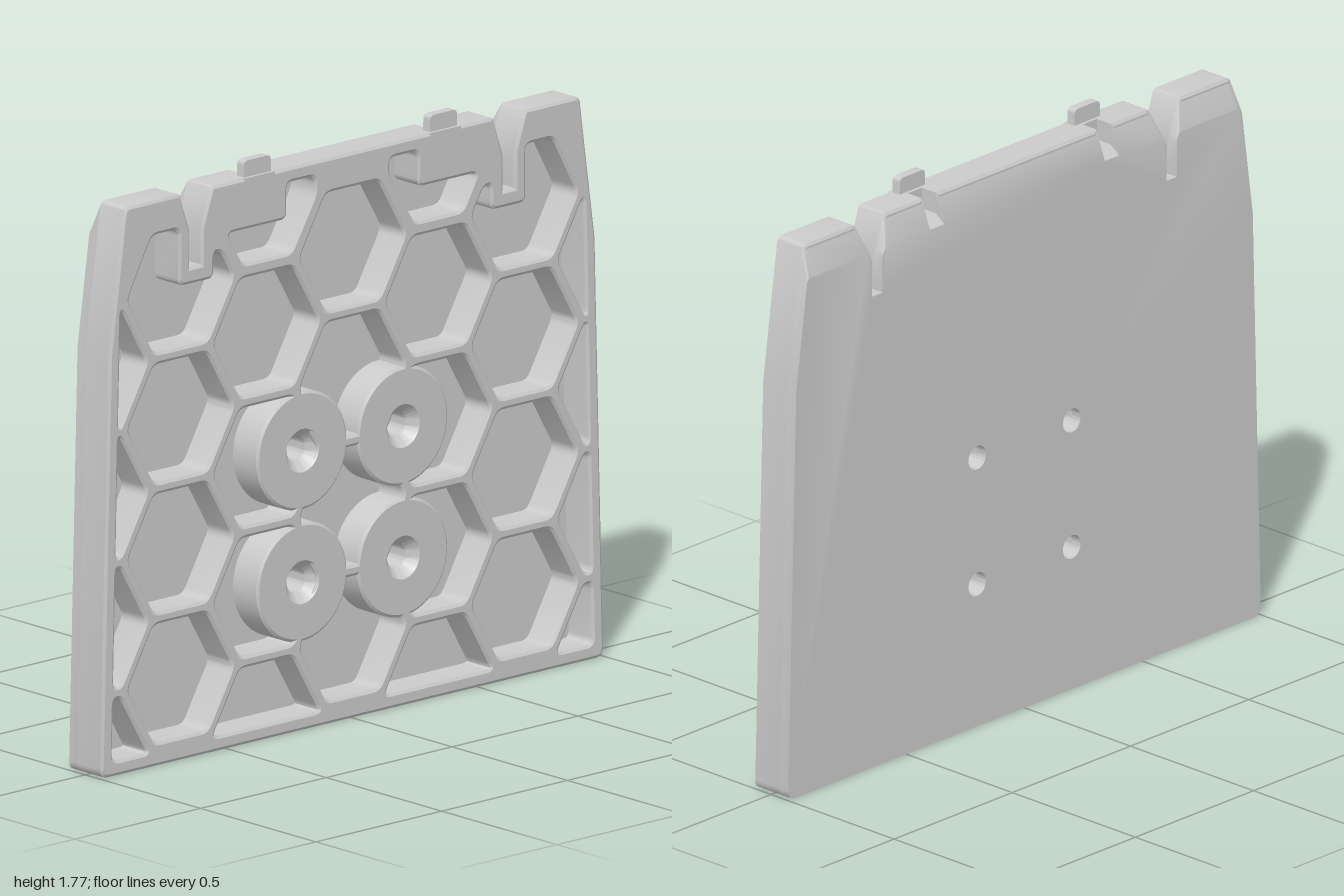
import * as THREE from 'three';
import { toCreasedNormals } from 'three/addons/utils/BufferGeometryUtils.js';

const BACK = -0.07, FLOOR = -0.035, FRONT = 0.07;
const PITCH = 0.395, COL = 0.342, APOTHEM = 0.18;
const BOSSES = [[-0.2, 0.45], [0.2, 0.45], [-0.2, 0.85], [0.2, 0.85]];
const material = new THREE.MeshStandardMaterial({ color: 0xcccccc });

// Rounds polygon corners; each point is [x, y, optional corner cut]
function roundPoly(pts, cut = 0) {
  const out = [];
  pts.forEach(([x, y, own], i) => {
    const p = new THREE.Vector2(x, y);
    const prev = new THREE.Vector2(...pts.at(i - 1).slice(0, 2));
    const next = new THREE.Vector2(...pts[(i + 1) % pts.length].slice(0, 2));
    const c = own ?? cut;
    if (!c) return out.push(p);
    const toward = (q) => p.clone().lerp(q, Math.min(c / p.distanceTo(q), 0.45));
    out.push(...new THREE.QuadraticBezierCurve(toward(prev), p, toward(next)).getPoints(4));
  });
  return out;
}

const mirror = (pts) => pts.map(([x, ...rest]) => [-x, ...rest]).reverse();

// Plate silhouette; the top edge can be lowered to make the back chamfer
function outline(top) {
  const t = (top - 1.6) / 0.12;
  const notch = Math.min(1.655, top);
  const half = [
    [1, 0, 0.03], [0.966, 1.28], [0.966 - 0.061 * (top - 1.28) / 0.44, top, 0.02],
    [0.645 + 0.04 * t, top, 0.01], [0.645, 1.6], [0.645, 1.49], [0.6, 1.49], [0.6, 1.6],
    [0.6 - 0.04 * t, top, 0.01],
    [0.4, top], [0.4, notch], [0.34, notch], [0.34, top],
  ];
  return roundPoly([...half, ...mirror(half)]);
}

// Flat-topped hexagon
function hexagon(cx, cy) {
  const R = APOTHEM / Math.cos(Math.PI / 6);
  return Array.from({ length: 6 }, (_, i) =>
    [cx + R * Math.cos(i * Math.PI / 3), cy + R * Math.sin(i * Math.PI / 3)]);
}

// Keeps the part of a polygon where f(point) >= 0
function clip(pts, f) {
  const out = [];
  pts.forEach((a, i) => {
    const b = pts[(i + 1) % pts.length], fa = f(a), fb = f(b);
    if (fa >= 0) out.push(a);
    if (fa * fb < 0) {
      const t = fa / (fa - fb);
      out.push([a[0] + (b[0] - a[0]) * t, a[1] + (b[1] - a[1]) * t]);
    }
  });
  return out;
}

function pockets() {
  const list = [];
  // middle column
  for (let i = 0; i < 4; i++) list.push(hexagon(0, 0.25 + i * PITCH));
  const side = [];
  for (let i = 0; i < 3; i++) side.push(hexagon(2 * COL, 0.25 + i * PITCH));
  // offset columns, trimmed by the bottom and side borders
  for (let i = 0; i < 4; i++) {
    for (const x of [COL, 3 * COL]) {
      const cell = clip(hexagon(x, 0.0525 + i * PITCH), (p) => p[1] - 0.045);
      side.push(clip(cell, (p) => 0.955 - 0.025 * p[1] - p[0]));
    }
  }
  // pocket stepping round the edge slot
  side.push([[0.69, 1.615], [0.69, 1.44], [0.55, 1.44], [0.55, 1.52], [0.522, 1.515],
    [0.476, 1.435], [0.58, 1.255], [0.788, 1.255], [0.892, 1.435], [0.795, 1.615]]);
  // pocket stepping round the tab
  side.push([[0.15, 1.675], [0.26, 1.675], [0.26, 1.565], [0.495, 1.565],
    [0.435, 1.46], [0.247, 1.46], [0.148, 1.625]]);
  side.forEach((p) => list.push(p, mirror(p)));
  return list.map((p) => roundPoly(p, 0.022));
}

function add(group, name, geometry, crease = 0.55) {
  const mesh = new THREE.Mesh(toCreasedNormals(geometry, crease), material);
  mesh.name = name;
  group.add(mesh);
  return mesh;
}

export function createModel() {
  const group = new THREE.Group();
  group.name = 'honeycombPanel';
  const full = outline(1.72), low = outline(1.63);

  // Back skin with screw holes and a chamfered top edge
  const skin = new THREE.Shape(full);
  for (const [x, y] of BOSSES) {
    skin.holes.push(new THREE.Path().absarc(x, y, 0.037, 0, Math.PI * 2, true));
  }
  const skinGeo = new THREE.ExtrudeGeometry(skin, { depth: FLOOR - BACK, bevelEnabled: false, curveSegments: 24 });
  const pos = skinGeo.attributes.position;
  for (let i = 0; i < pos.count; i++) {
    if (pos.getZ(i) > 1e-4) continue;
    const k = full.findIndex((p) => Math.hypot(p.x - pos.getX(i), p.y - pos.getY(i)) < 1e-4);
    if (k >= 0) pos.setXY(i, low[k].x, low[k].y);
  }
  skinGeo.translate(0, 0, BACK);
  add(group, 'backSkin', skinGeo);

  // Honeycomb ribs and border with softened edges
  const ribs = new THREE.Shape(full);
  ribs.holes = pockets().map((p) => new THREE.Path(p));
  const bevel = 0.006;
  const ribGeo = new THREE.ExtrudeGeometry(ribs, {
    depth: FRONT - FLOOR - bevel, bevelThickness: bevel, bevelSize: 0.009, bevelOffset: -0.009, bevelSegments: 1,
  });
  ribGeo.translate(0, 0, FLOOR);
  add(group, 'honeycombRibs', ribGeo);

  // Screw bosses with countersunk holes
  const profile = [
    [0.18, FLOOR], [0.18, FRONT - bevel], [0.172, FRONT], [0.066, FRONT],
    [0.06, FRONT - 0.008], [0.037, 0.04], [0.037, FLOOR],
  ].map((p) => new THREE.Vector2(...p));
  for (const [x, y] of BOSSES) {
    const boss = new THREE.LatheGeometry(profile, 48).rotateX(Math.PI / 2);
    add(group, 'screwBoss', boss, 0.4).position.set(x, y, 0);
  }

  // Top tabs on their front pads
  for (const s of [-1, 1]) {
    const tab = new THREE.Shape(roundPoly([
      [-0.055, 1.64], [0.055, 1.64], [0.053, 1.77, 0.015], [-0.053, 1.77, 0.015],
    ]));
    const tabGeo = new THREE.ExtrudeGeometry(tab, { depth: 0.03, bevelEnabled: false });
    add(group, 'topTab', tabGeo).position.set(s * 0.37, 0, 0.03);
    const pad = new THREE.BoxGeometry(0.12, 0.08, FRONT - 0.02);
    add(group, 'tabPad', pad).position.set(s * 0.37, 1.68, (FRONT + 0.02) / 2);
  }
  return group;
}
